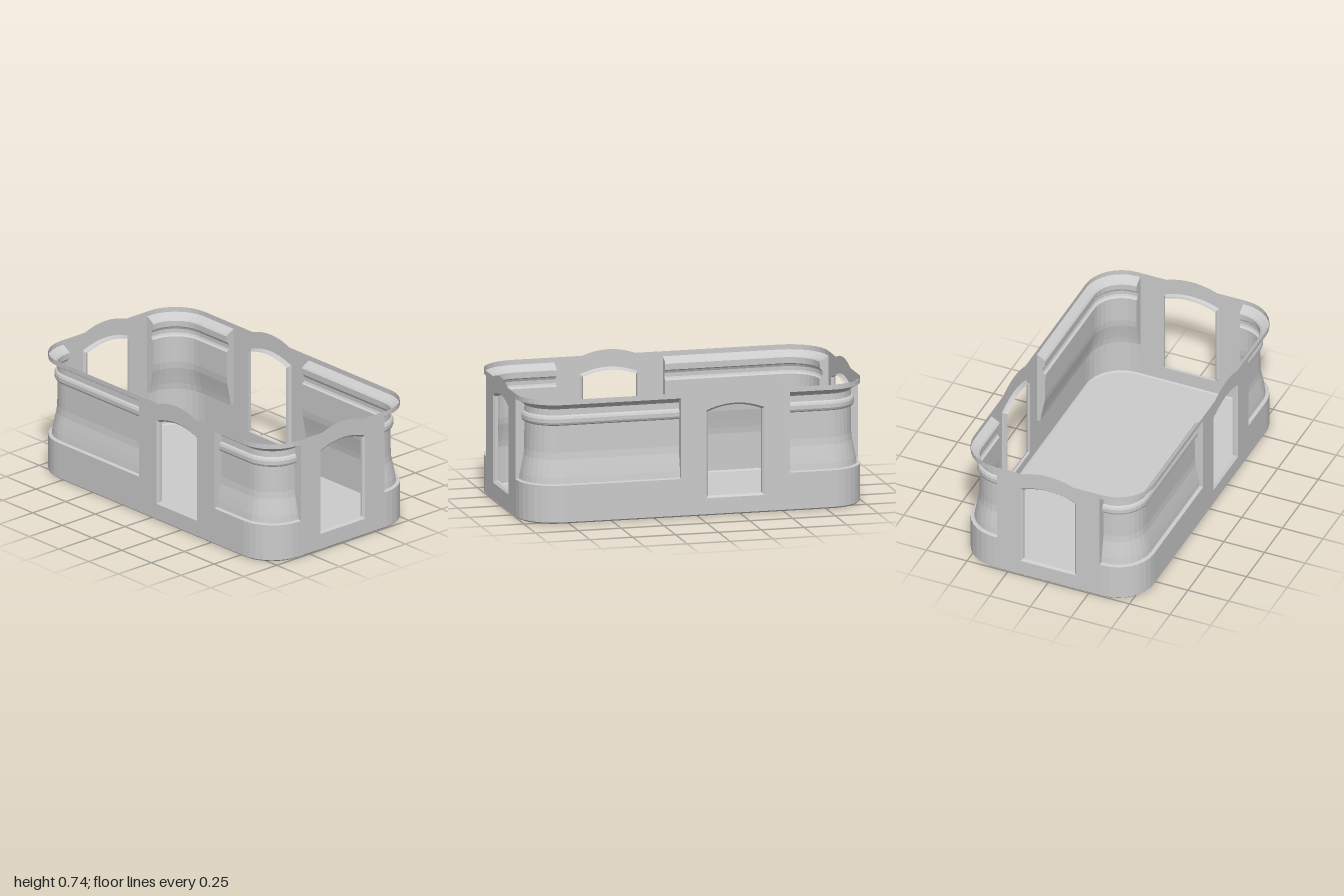
import * as THREE from 'three';

const W = 1, D = 0.555, R = 0.22;       // half width, half depth, corner radius
const SILL = 0.09, LEDGE = 0.22, TOP = 0.713;
const PANEL_X = 0.22, HALF = 0.317;     // door panel centre and half width
const mat = new THREE.MeshStandardMaterial({ color: 0xcccccc, flatShading: true, side: THREE.DoubleSide });

function mesh(name, geo) {
  const m = new THREE.Mesh(geo, mat);
  m.name = name;
  return m;
}

function buffer(pos, idx) {
  const g = new THREE.BufferGeometry();
  g.setAttribute('position', new THREE.Float32BufferAttribute(pos, 3));
  g.setIndex(idx);
  g.computeVertexNormals();
  return g;
}

// Points of one rounded corner, as position and outward normal
function corner(sx, sz, seg = 8) {
  const pts = [];
  for (let i = 0; i <= seg; i++) {
    const a = (Math.PI / 2) * (1 - i / seg);
    const nx = sx * Math.cos(a), nz = sz * Math.sin(a);
    pts.push({ x: sx * (W - R) + R * nx, z: sz * (D - R) + R * nz, nx, nz });
  }
  return sx * sz > 0 ? pts : pts.reverse();
}

// Sweep an open profile of [inset, height] points along a path
function sweep(path, profile) {
  const pos = [], idx = [], n = profile.length;
  for (const p of path) for (const [d, y] of profile) pos.push(p.x - p.nx * d, y, p.z - p.nz * d);
  for (let i = 0; i < path.length - 1; i++) {
    for (let j = 0; j < n - 1; j++) {
      const a = i * n + j, b = a + n;
      idx.push(a, b, b + 1, a, b + 1, a + 1);
    }
  }
  return buffer(pos, idx);
}

// Thin wall section: ledge, flared skirt, straight part, moulded band, flared rim
const recess = [
  [0, LEDGE], [0.021, 0.224], [0.026, 0.26], [0.036, 0.31], [0.047, 0.36], [0.051, 0.4], [0.052, 0.555],
  [0.04, 0.562], [0.035, 0.573], [0.035, 0.595], [0.041, 0.608], [0.051, 0.615], [0.052, 0.65],
  [0.043, 0.66], [0.012, 0.678], [0, 0.684],
];
const wallProfile = [[0, SILL], ...recess, [0, TOP]];

// Plate closing the recess at a wall end
function endCap(p) {
  const g = new THREE.ShapeGeometry(new THREE.Shape(recess.map(([d, y]) => new THREE.Vector2(d, y))));
  const a = g.attributes.position;
  for (let i = 0; i < a.count; i++) {
    const d = a.getX(i);
    a.setXYZ(i, p.x - p.nx * d, a.getY(i), p.z - p.nz * d);
  }
  g.computeVertexNormals();
  return g;
}

// Wall around one front corner, from the front panel to the side panel
function cornerWall(name, sx, xEnd) {
  const ends = [{ x: sx * xEnd, z: D, nx: 0, nz: 1 }, { x: sx * W, z: HALF, nx: sx, nz: 0 }];
  const arc = corner(sx, 1);
  const path = sx > 0 ? [ends[0], ...arc, ends[1]] : [ends[1], ...arc, ends[0]];
  const g = new THREE.Group();
  g.name = name;
  g.add(mesh('mouldedWall', sweep(path, wallProfile)));
  for (const e of ends) g.add(mesh('wallEnd', endCap(e)));
  return g;
}

// Arched run of points from x = -h to h
function arch(h, y, rise, seg = 12) {
  return Array.from({ length: seg + 1 }, (_, i) => {
    const t = (2 * i) / seg - 1;
    return new THREE.Vector2(h * t, y + rise * (1 - t * t));
  });
}

// Closed outline: flat bottom and the given run on top
function outline(h, bottom, top) {
  return [new THREE.Vector2(h, bottom), new THREE.Vector2(-h, bottom), ...top];
}

// Band lining an opening between two outlines at two depths
function band(front, zFront, back, zBack) {
  const pos = [], idx = [], n = front.length;
  front.forEach((p, i) => pos.push(p.x, p.y, zFront, back[i].x, back[i].y, zBack));
  for (let i = 0; i < n; i++) {
    const a = 2 * i, b = 2 * ((i + 1) % n);
    idx.push(a, b + 1, b, a, a + 1, b + 1);
  }
  return buffer(pos, idx);
}

// Thin door panel with a humped top and a framed arched opening
function doorPanel(name) {
  const hump = [new THREE.Vector2(-HALF, TOP), ...arch(0.155, TOP, 0.03), new THREE.Vector2(HALF, TOP)];
  const opening = outline(0.17, 0.1, arch(0.17, 0.607, 0.035));
  const frame = outline(0.158, 0.113, arch(0.158, 0.598, 0.033));
  const face = new THREE.Shape(outline(HALF, SILL, hump));
  face.holes.push(new THREE.Path(opening));
  const g = new THREE.Group();
  g.name = name;
  g.add(mesh('panel', new THREE.ShapeGeometry(face)));
  g.add(mesh('frameBevel', band(opening, 0, frame, -0.012)));
  g.add(mesh('frameLining', band(frame, -0.012, frame, -0.028)));
  return g;
}

// Shallow floor tray with a small chamfer along the bottom
function floorTray() {
  const g = new THREE.Group();
  g.name = 'floorTray';
  const path = [...corner(-1, 1), ...corner(1, 1), ...corner(1, -1), ...corner(-1, -1)];
  const inset = 0.008;
  const plate = new THREE.Shape(path.map((p) => new THREE.Vector2(p.x - p.nx * inset, p.z - p.nz * inset)));
  g.add(mesh('floor', new THREE.ShapeGeometry(plate).rotateX(Math.PI / 2)));
  g.add(mesh('trayRim', sweep([...path, path[0]], [[inset, 0], [0, inset], [0, SILL]])));
  return g;
}

export function createModel() {
  const model = new THREE.Group();
  model.name = 'carBody';
  model.add(floorTray());
  // The two halves are the same, turned by half a circle
  for (const [i, half] of ['frontHalf', 'backHalf'].entries()) {
    const g = new THREE.Group();
    g.name = half;
    g.add(cornerWall('shortWall', 1, PANEL_X + HALF), cornerWall('longWall', -1, HALF - PANEL_X));
    const longDoor = doorPanel('longSideDoor');
    longDoor.position.set(PANEL_X, 0, D);
    const endDoor = doorPanel('endDoor');
    endDoor.position.set(W, 0, 0);
    endDoor.rotation.y = Math.PI / 2;
    g.add(longDoor, endDoor);
    g.rotation.y = i * Math.PI;
    model.add(g);
  }
  return model;
}
